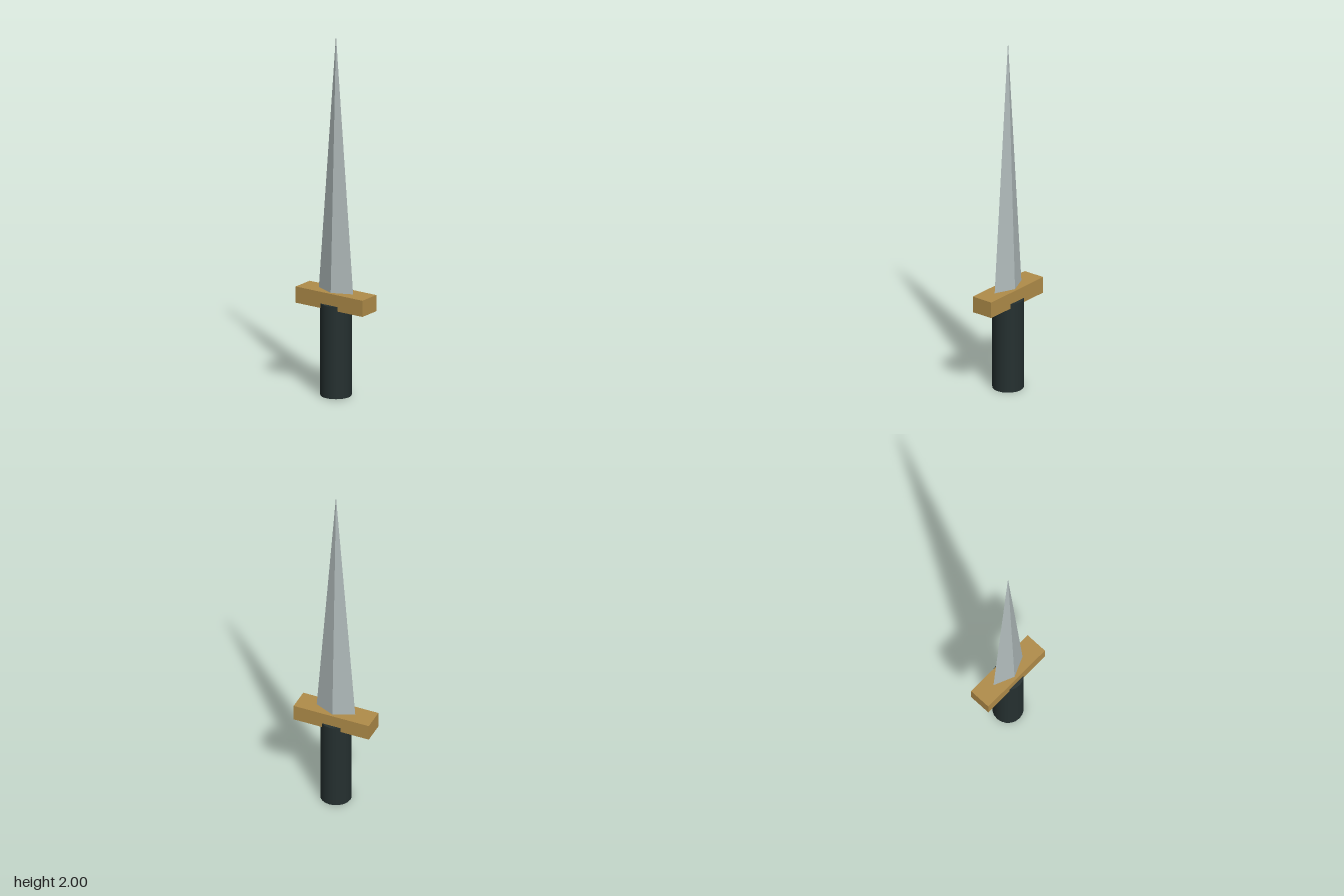
import * as THREE from 'three';

export function createModel() {
  const group = new THREE.Group();
  const material = (name, color, flatShading = false) => {
    const m = new THREE.MeshStandardMaterial({ color, flatShading });
    m.name = name;
    return m;
  };
  const steel = material('steel', 0xb0bbbb, true);
  const brass = material('brass', 0xb08c49);
  const darkGrip = material('darkGrip', 0x253030);

  const add = (name, geometry, mat, bottom, height) => {
    const mesh = new THREE.Mesh(geometry, mat);
    mesh.name = name;
    mesh.position.y = bottom + height / 2;
    group.add(mesh);
  };

  // Round grip, its top set into the underside of the guard
  add('grip', new THREE.CylinderGeometry(0.084, 0.084, 0.512, 20), darkGrip, 0, 0.512);

  // Straight rectangular crossguard
  add('crossguard', new THREE.BoxGeometry(0.436, 0.09, 0.126), brass, 0.487, 0.09);

  // Four-sided tapering blade with a diamond cross-section
  const blade = new THREE.ConeGeometry(0.112, 1.423, 4);
  blade.scale(1, 1, 0.43);
  add('blade', blade, steel, 0.577, 1.423);

  return group;
}
